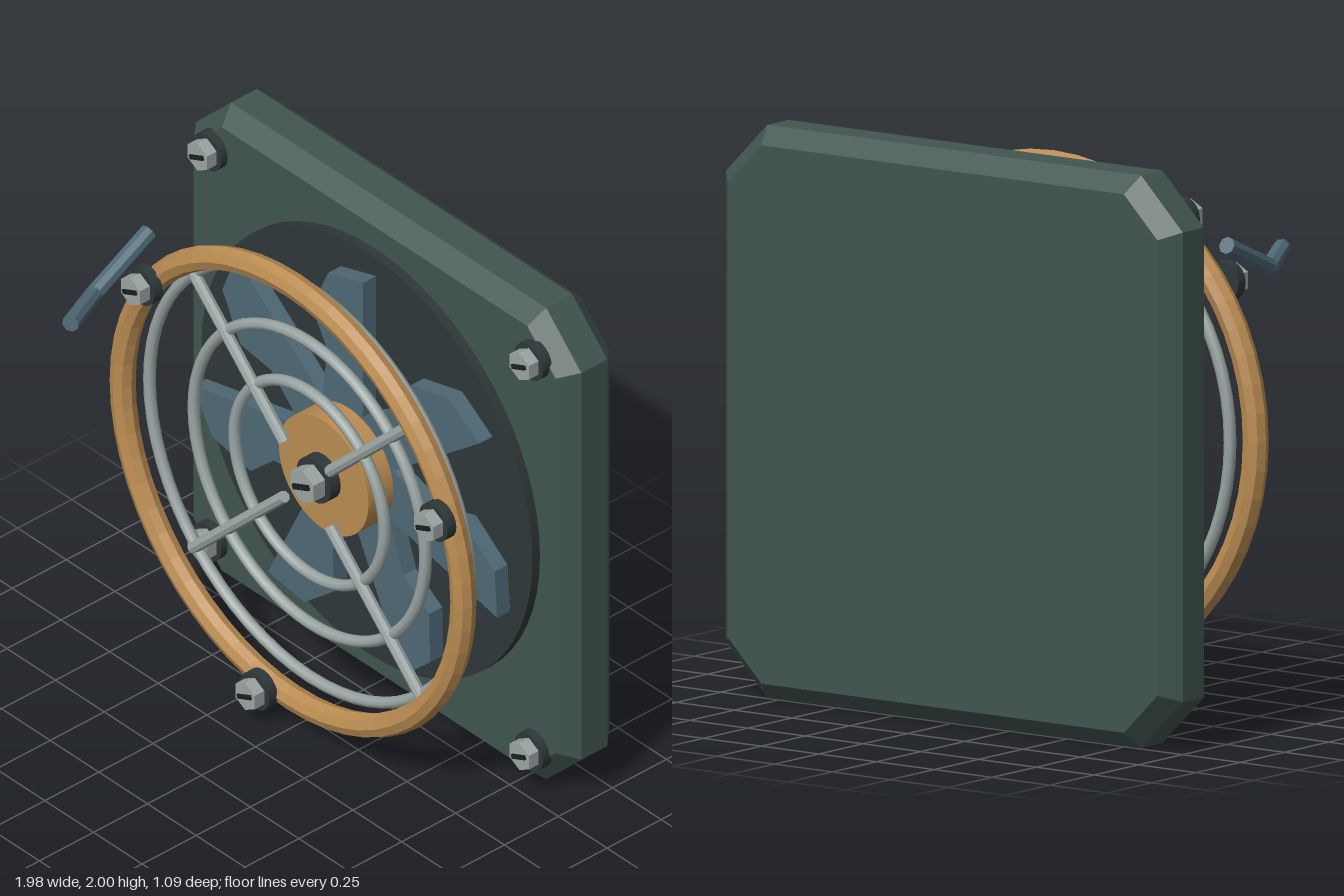
import * as THREE from 'three';

const mat = (name, color) => new THREE.MeshStandardMaterial({ name, color });

export function createModel() {
  const root = new THREE.Group();
  root.name = 'fanUnit';
  const model = new THREE.Group(); // built around the fan axis
  model.name = 'fanAssembly';
  model.position.y = 1;
  root.add(model);

  const green = mat('darkGreen', 0x41554f);
  const dark = mat('charcoal', 0x2e3738);
  const black = mat('black', 0x1a1f20);
  const steel = mat('steelGrey', 0x9aa5a3);
  const brass = mat('brass', 0xba8c52);
  const blue = mat('slateBlue', 0x4e6976);

  const flat = (g) => {
    const f = g.index ? g.toNonIndexed() : g;
    f.computeVertexNormals();
    return f;
  };
  const add = (parent, name, geometry, material, x = 0, y = 0, z = 0) => {
    const m = new THREE.Mesh(geometry, material);
    m.name = name;
    m.position.set(x, y, z);
    parent.add(m);
    return m;
  };
  // Disc or prism along z, from z0 to z1
  const disc = (r, z0, z1, sides) =>
    new THREE.CylinderGeometry(r, r, z1 - z0, sides).rotateX(Math.PI / 2).translate(0, 0, (z0 + z1) / 2);
  // Straight rod between two points
  const rod = (parent, name, a, b, r, sides, material) => {
    const d = b.clone().sub(a);
    const m = add(parent, name, flat(new THREE.CylinderGeometry(r, r, d.length(), sides)), material);
    m.position.copy(a).add(b).multiplyScalar(0.5);
    m.quaternion.setFromUnitVectors(new THREE.Vector3(0, 1, 0), d.normalize());
    return m;
  };
  const polygon = (pts) => new THREE.Shape(pts.map(([x, y]) => new THREE.Vector2(x, y)));

  // Housing: chamfered slab with bevelled edges
  const w = 0.93, h = 0.94, c = 0.145;
  const outline = polygon([
    [w - c, -h], [w, c - h], [w, h - c], [w - c, h],
    [c - w, h], [-w, h - c], [-w, c - h], [c - w, -h],
  ]);
  add(model, 'housing', new THREE.ExtrudeGeometry(outline, {
    depth: 0.12, bevelThickness: 0.065, bevelSize: 0.06, bevelSegments: 1,
  }), green, 0, 0, -0.485);
  add(model, 'backDisc', disc(0.85, -0.32, -0.265, 64), dark);

  // Fan blades
  const bladeGeometry = new THREE.ExtrudeGeometry(polygon([
    [0.075, 0.15], [0.075, 0.8], [-0.106, 0.745], [-0.19, 0.56], [-0.11, 0.42], [-0.14, 0.15],
  ]), { depth: 0.06, bevelEnabled: false });
  for (let i = 0; i < 7; i++) {
    add(model, 'fanBlade', bladeGeometry, blue, 0, 0, -0.24).rotation.z = (i * Math.PI * 2) / 7;
  }
  add(model, 'hub', disc(0.23, -0.2, -0.065, 40), brass);

  // Wire grille
  for (const r of [0.823, 0.595, 0.385]) {
    add(model, 'grilleRing', new THREE.TorusGeometry(r, 0.022, 8, 64), steel);
  }
  for (let i = 0; i < 4; i++) {
    const a = Math.PI / 4 + (i * Math.PI) / 2;
    const at = (r) => new THREE.Vector3(Math.cos(a) * r, Math.sin(a) * r, 0.012);
    rod(model, 'grilleSpoke', at(0.165), at(0.83), 0.022, 8, steel);
  }

  // Front rim
  add(model, 'frontRim', flat(new THREE.TorusGeometry(0.875, 0.045, 8, 56)), brass, 0, 0, 0.077);

  // Slotted hex bolts on round washers
  const bolt = (x, y, z, s = 1) => {
    const g = new THREE.Group();
    g.name = 'bolt';
    add(g, 'washer', disc(0.073, 0, 0.04, 20), dark);
    add(g, 'hexHead', flat(disc(0.057, 0.04, 0.085, 6)), steel);
    add(g, 'slot', new THREE.BoxGeometry(0.072, 0.016, 0.009), black, 0, 0, 0.0885).rotation.z = 0.4;
    g.position.set(x, y, z);
    g.scale.setScalar(s);
    model.add(g);
  };
  for (const x of [-0.827, 0.827]) for (const y of [-0.827, 0.827]) bolt(x, y, -0.31);
  for (let i = 0; i < 3; i++) {
    const a = 0.398 + (i * Math.PI * 2) / 3;
    bolt(Math.cos(a) * 0.877, Math.sin(a) * 0.877, 0.115);
  }
  bolt(0, 0, -0.066, 1.2);

  // Bent lever
  const lever = new THREE.Group();
  lever.name = 'lever';
  model.add(lever);
  const [p, q, r] = [[-0.77, 0.675, 0.05], [-0.745, 0.56, 0.325], [-0.64, 0.586, 0.53]]
    .map((v) => new THREE.Vector3(...v));
  rod(lever, 'leverArm', p, q, 0.031, 8, blue);
  rod(lever, 'leverHandle', q, r, 0.031, 8, blue);
  add(lever, 'leverElbow', new THREE.SphereGeometry(0.031, 10, 8), blue, q.x, q.y, q.z);

  return root;
}
